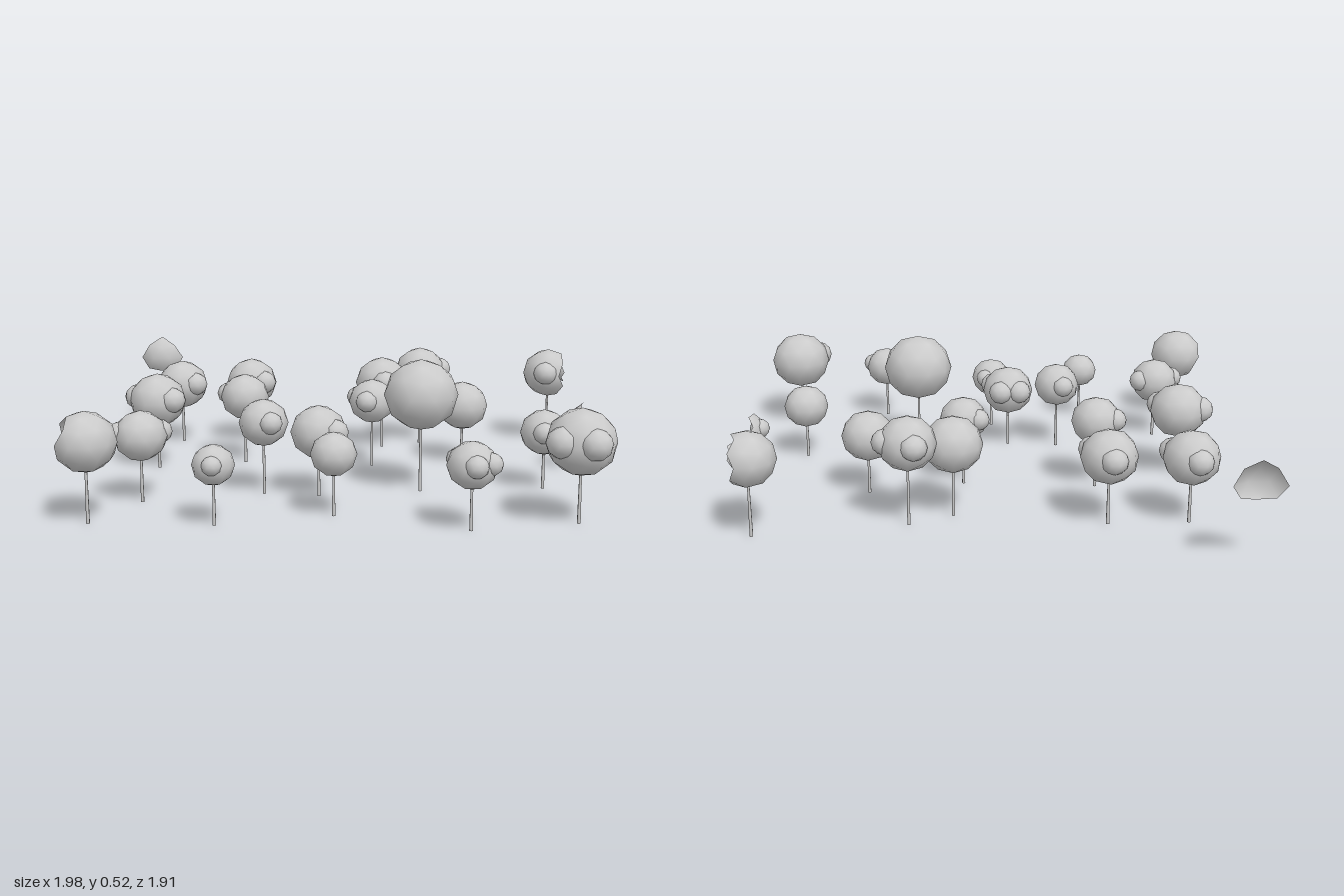
import * as THREE from 'three';

const material = new THREE.MeshStandardMaterial({ color: 0xcccccc, side: THREE.DoubleSide });

// Edges of the plot: crown faces crossing them are left out
const EDGE_X = 0.995, EDGE_Z = 0.96;

// Each tree: x, crown height, z, crown radius, then the compass angles of its leaf clumps (0 = +x, 90 = +z)
const TREES = [
  [-0.72, 0.26, -0.52, 0.11, 40, -100],
  [-0.41, 0.27, -0.52, 0.11, 45, -95],
  [0.17, 0.29, -0.41, 0.115, 83],
  [0.34, 0.325, -0.49, 0.11, -106, -6, 72],
  [0.92, 0.305, -0.57, 0.11, 106, 8],
  [-0.76, 0.285, -0.03, 0.115, 197, 40],
  [-0.41, 0.28, -0.13, 0.1, 202],
  [0.12, 0.275, -0.07, 0.095, 215, 108],
  [0.5, 0.24, -0.15, 0.105],
  [-0.75, 0.255, 0.49, 0.1, -27, 172],
  [-0.3, 0.28, 0.37, 0.095, -106, 65],
  [-0.09, 0.25, 0.4, 0.107, -122, -65, 38],
  [0.3, 0.38, 0.33, 0.142],
  [0.78, 0.225, 0.29, 0.093, 97],
  [-0.03, 0.23, 0.67, 0.085, -120, -65],
  [-0.9, 0.297, 0.77, 0.115],
  [-0.45, 0.22, 0.79, 0.077, 90],
  [0.45, 0.235, 0.85, 0.09, -132, 22, 82],
  [0.84, 0.297, 0.76, 0.127, 142, 70],
  // rooted outside the plot: only a shell of the crown remains
  [1.01, 0.21, 0.02, 0.085, 180],
  [-0.87, 0.31, -1.02, 0.12],
];

// Low-poly ball with smooth normals and a corner pointing straight up
const ball = new THREE.IcosahedronGeometry(1, 1).rotateX(-Math.atan((1 + Math.sqrt(5)) / 2));

function foliage(name, x, y, z, r) {
  const geometry = ball.clone().scale(r, r * 0.96, r).translate(x, y, z);
  const p = geometry.attributes.position;
  const inside = (i) => Math.abs(p.getX(i)) < EDGE_X && Math.abs(p.getZ(i)) < EDGE_Z;
  const index = [];
  for (let i = 0; i < p.count; i += 3) {
    if (inside(i) && inside(i + 1) && inside(i + 2)) index.push(i, i + 1, i + 2);
  }
  geometry.setIndex(index);
  const mesh = new THREE.Mesh(geometry, material);
  mesh.name = name;
  return mesh;
}

function makeTree([x, y, z, r, ...clumpAngles]) {
  const tree = new THREE.Group();
  tree.name = 'tree';
  // slim tapering trunk
  if (Math.abs(x) < EDGE_X && Math.abs(z) < EDGE_Z) {
    const trunk = new THREE.Mesh(new THREE.CylinderGeometry(0.004, 0.007, y, 6), material);
    trunk.position.set(x, y / 2, z);
    trunk.name = 'trunk';
    tree.add(trunk);
  }
  tree.add(foliage('crown', x, y, z, r));
  // clumps bulge from the crown's waist
  for (const angle of clumpAngles) {
    const a = THREE.MathUtils.degToRad(angle);
    tree.add(foliage('leafClump', x + 0.75 * r * Math.cos(a), y + 0.01, z + 0.75 * r * Math.sin(a), r * 0.48));
  }
  return tree;
}

export function createModel() {
  const grove = new THREE.Group();
  grove.name = 'grove';
  for (const tree of TREES) grove.add(makeTree(tree));
  return grove;
}
